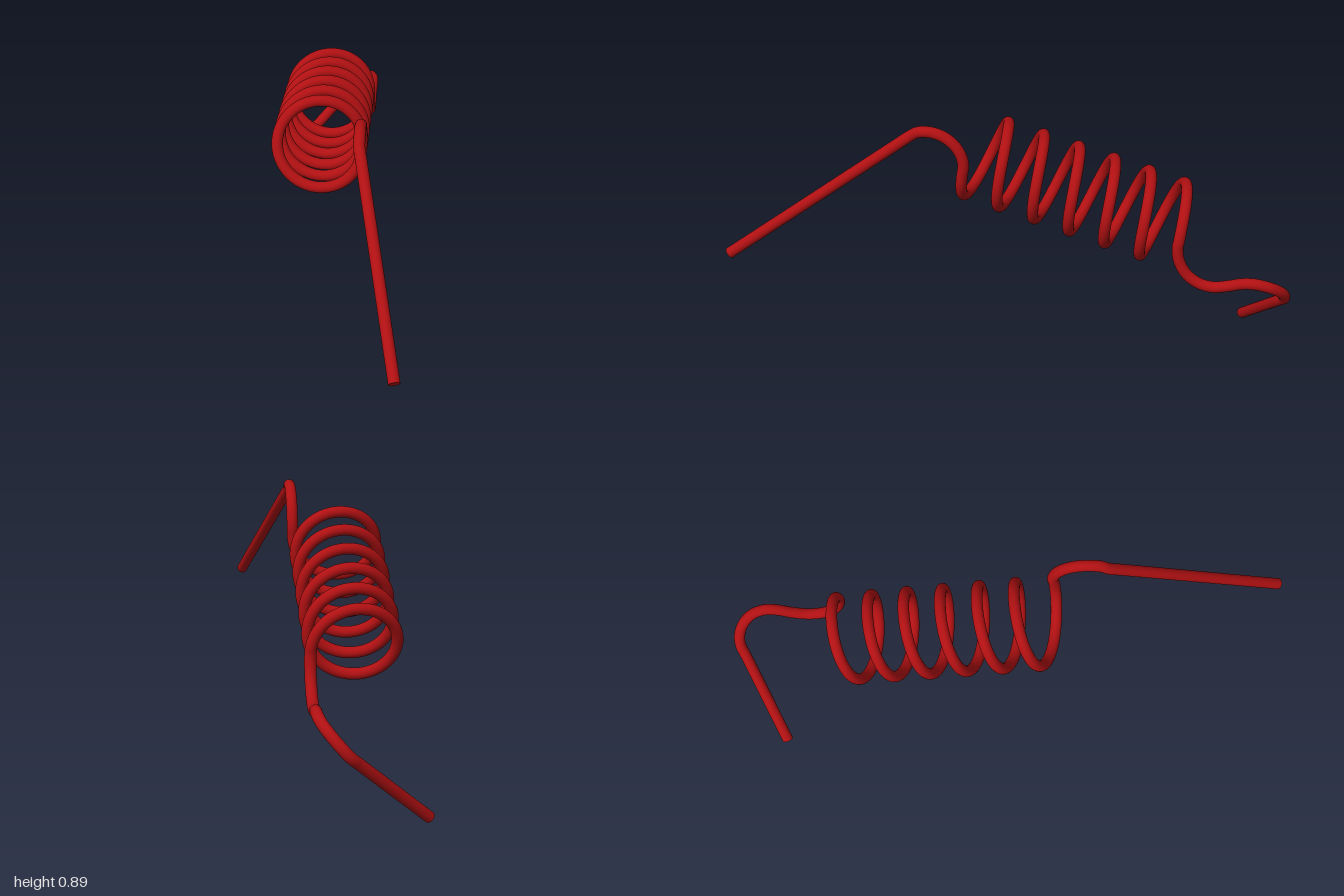
import * as THREE from 'three';

const V = (x, y, z) => new THREE.Vector3(x, y, z);
const WIRE = 0.02;

export function createModel() {
  const group = new THREE.Group();
  group.name = 'torsionSpring';
  const material = new THREE.MeshStandardMaterial({ color: 0xb01012 });
  const pts = [];

  // front leg: long straight arm
  const frontTip = V(0.255, 0.372, 0.988);
  const frontBend = V(0.11, 0.85, 0.345);
  for (let i = 0; i <= 16; i++) pts.push(frontTip.clone().lerp(frontBend, i / 16));

  // front hook: arc over the top, down into the coil
  for (let i = 1; i <= 10; i++) {
    const a = THREE.MathUtils.degToRad(30 - i * 12);
    pts.push(V(0.11, 0.75 + 0.124 * Math.cos(a), 0.28 + 0.124 * Math.sin(a)));
  }

  // coil: six turns about an axis tilted 15 degrees
  const tilt = Math.PI / 12, R = 0.147, pitch = 0.1315, turns = 6, steps = 32;
  const axis = V(0, -Math.sin(tilt), -Math.cos(tilt));
  const up = V(0, Math.cos(tilt), -Math.sin(tilt));
  for (let i = 0; i <= turns * steps; i++) {
    const a = (i / steps) * Math.PI * 2;
    pts.push(V(-0.038, 0.717, 0.161)
      .addScaledVector(axis, (i / steps) * pitch)
      .addScaledVector(up, -R * Math.sin(a))
      .add(V(R * Math.cos(a), 0, 0)));
  }

  // rear hook: dips under, rises, and turns sideways
  pts.push(
    V(0.11, 0.46, -0.61), V(0.11, 0.412, -0.637), V(0.11, 0.38, -0.68),
    V(0.11, 0.37, -0.73), V(0.11, 0.382, -0.785), V(0.112, 0.398, -0.83),
    V(0.112, 0.403, -0.875), V(0.1, 0.388, -0.925), V(0.075, 0.36, -0.96),
    V(0.045, 0.326, -0.977)
  );

  // rear leg: straight arm
  const rearBend = V(0.015, 0.292, -0.977);
  const rearTip = V(-0.26, 0.015, -0.818);
  for (let i = 0; i <= 10; i++) pts.push(rearBend.clone().lerp(rearTip, i / 10));

  const path = new THREE.CatmullRomCurve3(pts, false, 'centripetal');
  path.arcLengthDivisions = 3000;
  const wire = new THREE.Mesh(new THREE.TubeGeometry(path, 720, WIRE, 20), material);
  wire.name = 'springWire';
  group.add(wire);

  // flat cut ends
  const addCap = (name, t, sign) => {
    const cap = new THREE.Mesh(new THREE.CircleGeometry(WIRE, 20), material);
    cap.name = name;
    cap.position.copy(path.getPoint(t));
    cap.quaternion.setFromUnitVectors(V(0, 0, 1), path.getTangent(t).multiplyScalar(sign));
    group.add(cap);
  };
  addCap('frontLegEnd', 0, -1);
  addCap('rearLegEnd', 1, 1);

  return group;
}
